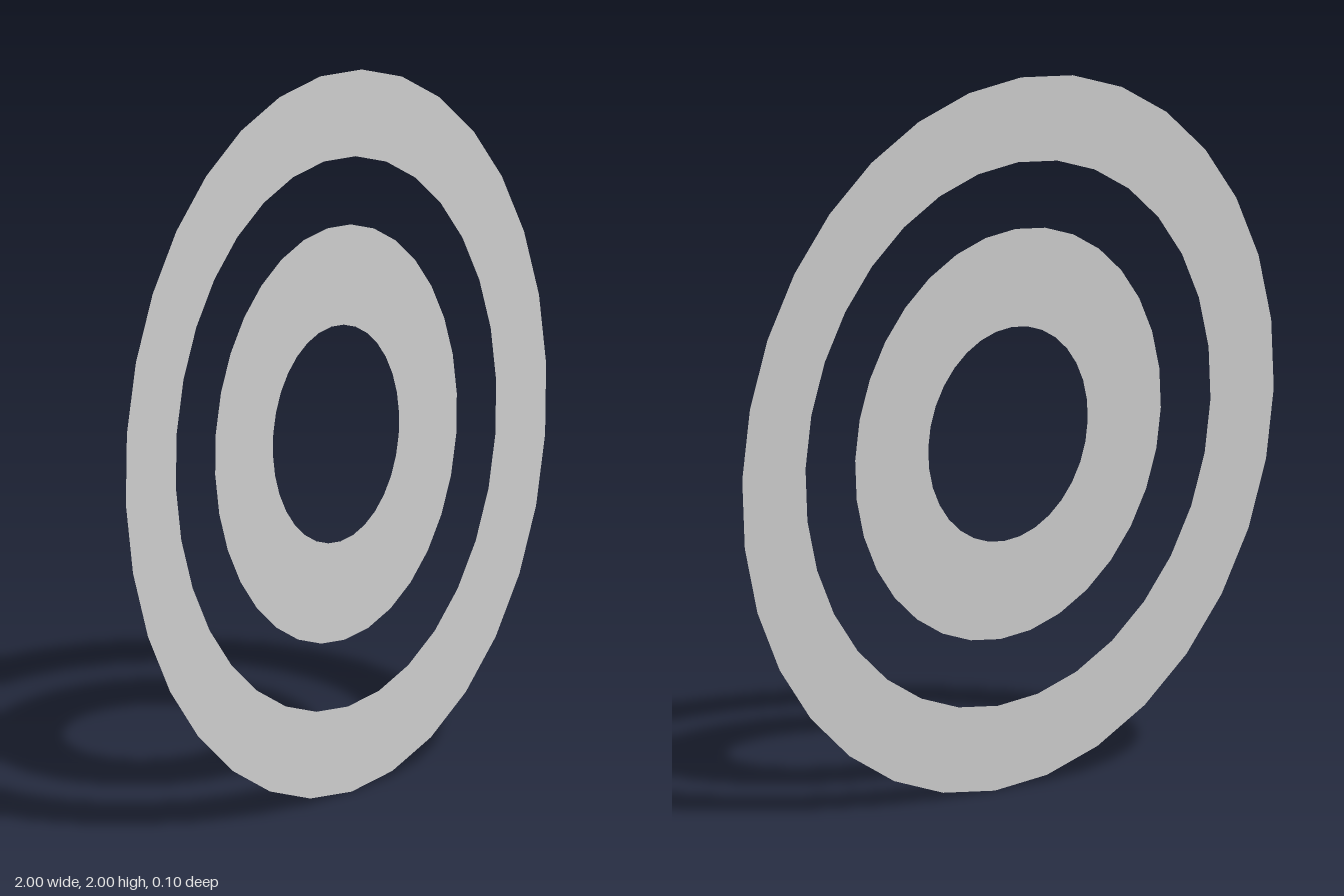
import * as THREE from 'three';

const TILT = THREE.MathUtils.degToRad(3);

export function createModel() {
  const model = new THREE.Group();
  const material = new THREE.MeshStandardMaterial({ color: 0xcccccc, side: THREE.DoubleSide });

  // Two flat concentric rings, leaning slightly back as one
  const rings = new THREE.Group();
  rings.name = 'rings';
  for (const [name, inner, outer] of [
    ['outerRing', 0.762, 1],
    ['innerRing', 0.3, 0.575],
  ]) {
    const ring = new THREE.Mesh(new THREE.RingGeometry(inner, outer, 32), material);
    ring.name = name;
    rings.add(ring);
  }
  rings.rotation.x = -TILT;
  rings.position.y = Math.cos(TILT); // lowest point touches the ground
  model.add(rings);
  return model;
}
